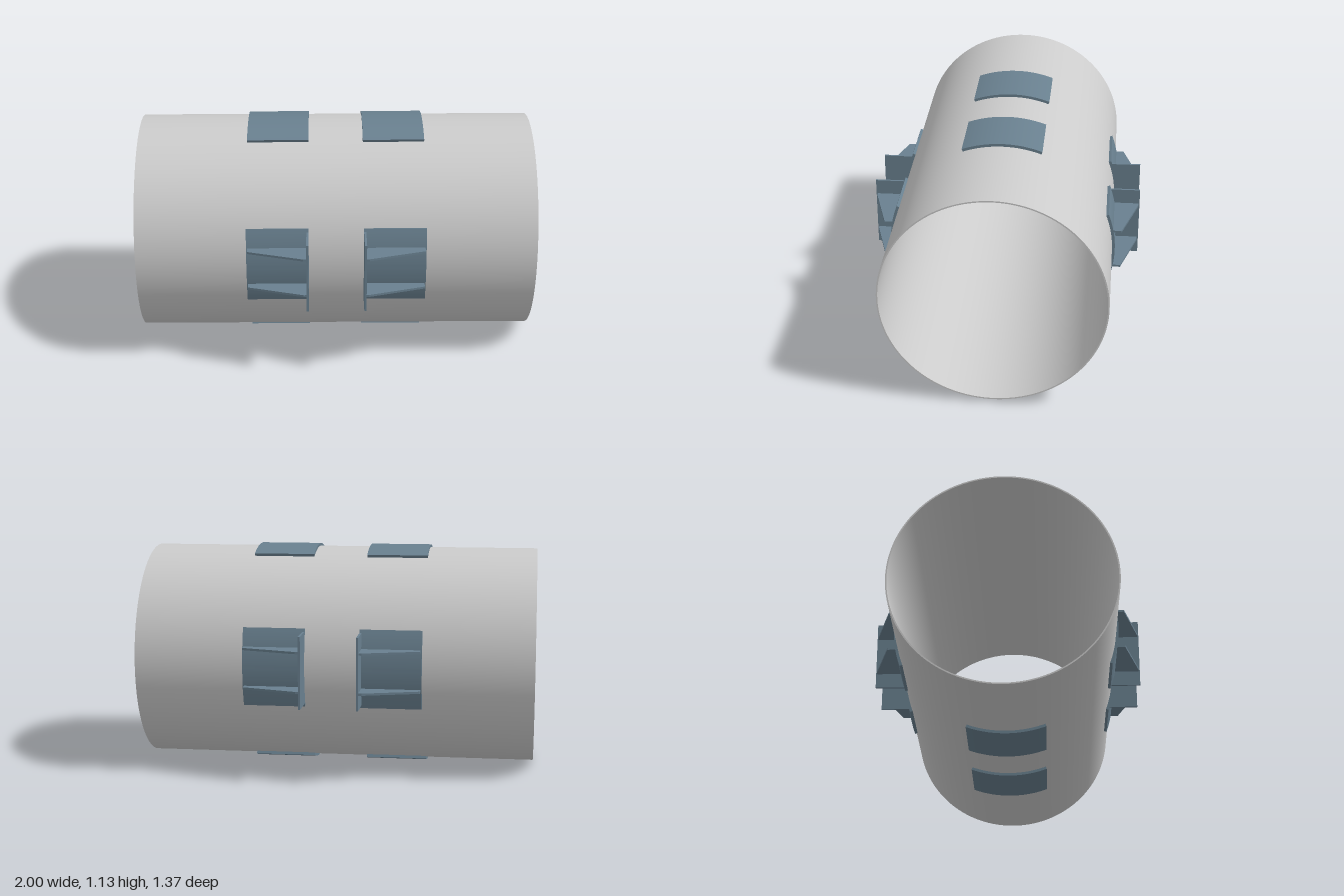
import * as THREE from 'three';
import { toCreasedNormals } from 'three/addons/utils/BufferGeometryUtils.js';

const AXIS_Y = 0.567;          // height of the pipe axis
const PIPE_R = 0.553, PIPE_IN = 0.546, PAD_R = 0.567;
const X0 = 0.137, X1 = 0.447;  // extent of each pad along the pipe

const grey = new THREE.MeshStandardMaterial({ color: 0xcccccc });
const steel = new THREE.MeshStandardMaterial({ color: 0x69808f });

// Extrude a cross-section along the pipe (x) from a to b; shape x becomes -z
function alongPipe(shape, a, b, curveSegments) {
  const g = new THREE.ExtrudeGeometry(shape, { depth: b - a, bevelEnabled: false, curveSegments });
  g.translate(0, 0, a).rotateY(Math.PI / 2);
  return toCreasedNormals(g, 0.5);
}

function add(parent, name, geometry, material) {
  const mesh = new THREE.Mesh(geometry, material);
  mesh.name = name;
  parent.add(mesh);
  return mesh;
}

export function createModel() {
  const model = new THREE.Group();
  model.name = 'pipeWithSupports';
  const body = new THREE.Group();
  body.name = 'pipeAssembly';
  body.position.y = AXIS_Y;
  model.add(body);

  // Thin-walled open pipe
  const ring = new THREE.Shape().absarc(0, 0, PIPE_R, 0, Math.PI * 2);
  ring.holes.push(new THREE.Path().absarc(0, 0, PIPE_IN, 0, Math.PI * 2, true));
  add(body, 'pipe', alongPipe(ring, -1, 1, 96), grey);

  // Curved pads: top, bottom, front and back, two of each
  const half = Math.asin(0.197 / 0.565);
  const arc = new THREE.Shape();
  arc.absarc(0, 0, PAD_R, -half, half, false);
  arc.absarc(0, 0, PIPE_R - 0.001, half, -half, true);
  arc.closePath();
  const padGeo = alongPipe(arc, X0, X1, 24);
  for (let i = 0; i < 4; i++) {
    for (const side of [0, 1]) {
      const pad = add(body, 'curvedPad', padGeo, steel);
      pad.rotation.x = i * Math.PI / 2;
      if (side) pad.position.x = -(X0 + X1);
    }
  }

  // Upright plate, its inner edge following the pipe
  const H = 0.181, OUT = 0.686, IN = 0.56;
  const a = Math.asin(H / IN);
  const plate = new THREE.Shape();
  plate.moveTo(-OUT, H);
  plate.lineTo(-OUT, -H);
  plate.absarc(0, 0, IN, Math.PI + a, Math.PI - a, true);
  plate.closePath();
  const plateGeo = alongPipe(plate, X0, X0 + 0.011, 24);

  // Tapered rib, drawn in x and z
  const rib = new THREE.Shape([
    [X0 + 0.01, 0.553], [0.441, 0.553], [0.441, 0.597], [0.163, 0.68], [X0 + 0.01, 0.68],
  ].map(([x, z]) => new THREE.Vector2(x, z)));
  const ribGeo = new THREE.ExtrudeGeometry(rib, { depth: 0.011, bevelEnabled: false });
  ribGeo.translate(0, 0, -0.0055).rotateX(Math.PI / 2);

  // Four brackets, by half turns about each axis
  for (const turn of [[0, 0, 0], [1, 0, 0], [0, 1, 0], [0, 0, 1]]) {
    const bracket = new THREE.Group();
    bracket.name = 'sideBracket';
    add(bracket, 'bracketPlate', plateGeo, steel);
    for (const s of [-1, 1]) add(bracket, 'bracketRib', ribGeo, steel).position.y = s * 0.099;
    bracket.rotation.set(...turn.map((t) => t * Math.PI));
    body.add(bracket);
  }
  return model;
}
